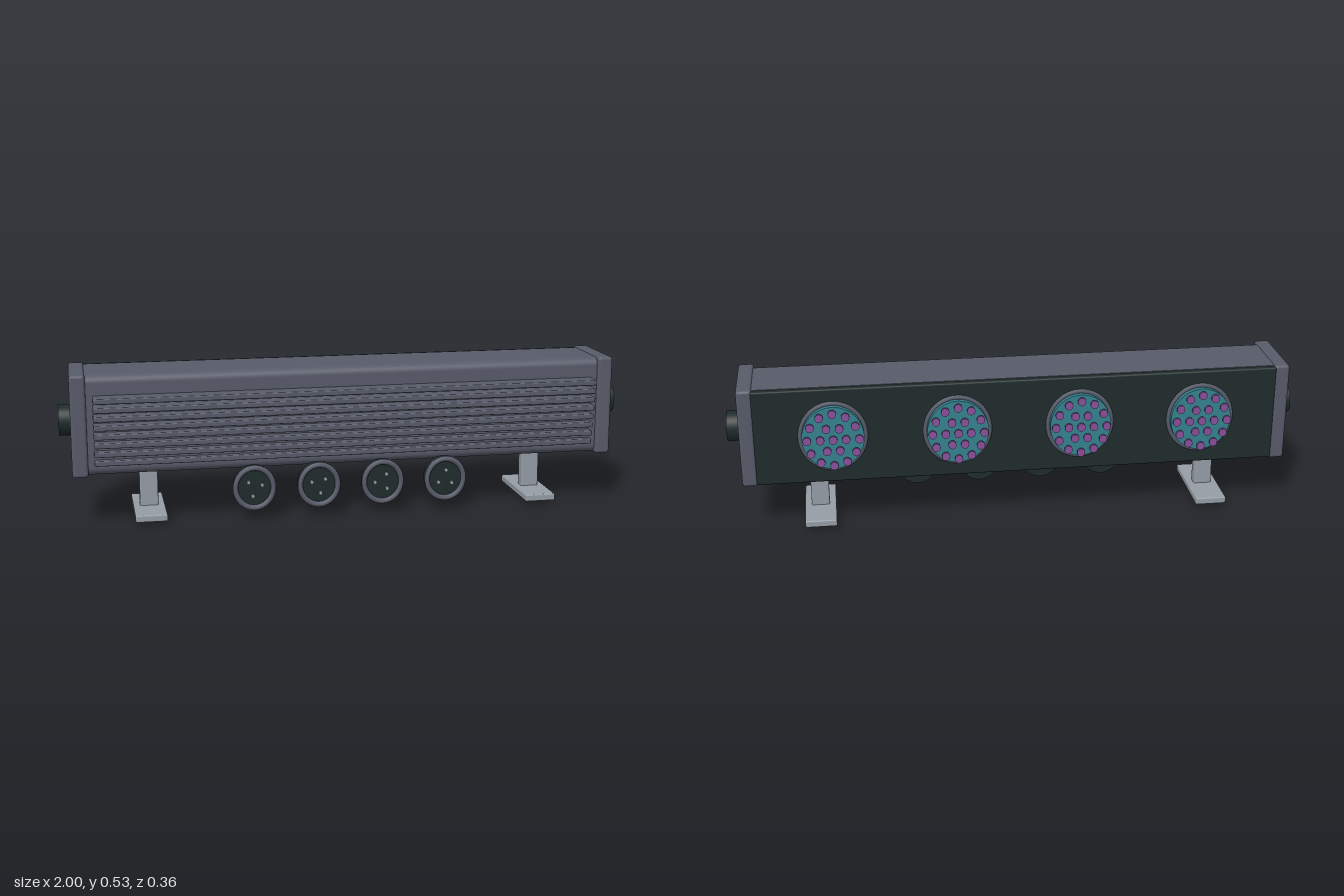
import * as THREE from 'three';
import { RoundedBoxGeometry } from 'three/addons/geometries/RoundedBoxGeometry.js';

const mat = (name, color) => Object.assign(new THREE.MeshStandardMaterial({ color }), { name });

export function createModel() {
  const model = new THREE.Group();
  model.name = 'lightBar';
  const housing = mat('housing grey', 0x575b69);
  const dark = mat('dark plastic', 0x1f2b2b);
  const metal = mat('bracket metal', 0x959da5);
  const lensTeal = mat('lens teal', 0x34828f);
  const ledPurple = mat('diode purple', 0x8b4f9a);

  const CX = -0.003, CZ = -0.003, MID = 0.351; // bar axis
  const ROUND = 0.935; // round parts are slightly narrower than tall

  const add = (parent, name, geo, material, x, y, z) => {
    const mesh = new THREE.Mesh(geo, material);
    mesh.name = name;
    mesh.position.set(x, y, z);
    parent.add(mesh);
    return mesh;
  };
  const rbox = (w, h, d, r) => new RoundedBoxGeometry(w, h, d, 3, r);
  // Disc whose axis runs along z
  const disc = (r, depth, sides = 40) =>
    new THREE.CylinderGeometry(r, r, depth, sides).rotateX(Math.PI / 2);

  // Housing: rounded profile extruded along x
  const x0 = -0.117, x1 = 0.118, y0 = 0.178, y1 = 0.524, r = 0.028;
  const s = new THREE.Shape();
  s.moveTo(x0, y0);
  s.lineTo(x1 - r, y0);
  s.absarc(x1 - r, y0 + r, r, -Math.PI / 2, 0);
  s.lineTo(x1, y1 - r);
  s.absarc(x1 - r, y1 - r, r, 0, Math.PI / 2);
  s.lineTo(x0, y1);
  s.closePath();
  const bodyGeo = new THREE.ExtrudeGeometry(s, { depth: 1.83, bevelEnabled: false, curveSegments: 8 })
    .translate(0, 0, -0.915).rotateY(-Math.PI / 2);
  add(model, 'housing', bodyGeo, housing, CX, 0, 0);
  add(model, 'lampPanel', rbox(1.82, 0.343, 0.024, 0.006), dark, CX, MID, -0.125);

  // End caps and their side knobs
  for (const side of [-1, 1]) {
    add(model, 'endCap', rbox(0.054, 0.354, 0.267, 0.011), housing, CX + side * 0.931, MID + 0.0005, CZ);
    const knob = add(model, 'sideKnob',
      new THREE.CylinderGeometry(0.0535, 0.0535, 0.09, 40).rotateZ(Math.PI / 2),
      dark, side * 0.955, MID, CZ);
    knob.scale.z = ROUND;
  }

  // Cooling fins, getting deeper towards the top
  for (let i = 0; i < 8; i++) {
    const back = 0.1, front = 0.144 + i * 0.0053;
    add(model, 'coolingFin', rbox(1.765, 0.0185, front - back, 0.004), housing,
      CX, 0.225 + i * 0.0316, (front + back) / 2);
  }

  // Lamps on the back: rim, lens and two rings of diodes round a centre one
  const spots = [[0, 0]];
  for (const [count, radius] of [[6, 0.047], [12, 0.095]]) {
    for (let i = 0; i < count; i++) {
      const a = (i / count) * Math.PI * 2;
      spots.push([Math.cos(a) * radius, Math.sin(a) * radius]);
    }
  }
  for (let i = 0; i < 4; i++) {
    const lamp = new THREE.Group();
    lamp.name = 'lamp';
    lamp.position.set(CX + (i - 1.5) * 0.427, MID, 0);
    lamp.scale.x = ROUND;
    model.add(lamp);
    add(lamp, 'lampRim', new THREE.TorusGeometry(0.119, 0.01, 10, 48), housing, 0, 0, -0.133);
    add(lamp, 'lens', disc(0.114, 0.028), lensTeal, 0, 0, -0.144);
    for (const [x, y] of spots) add(lamp, 'diode', disc(0.0152, 0.008, 12), ledPurple, x, y, -0.174);
  }

  // Round sockets hanging under the front edge
  for (let i = 0; i < 4; i++) {
    const socket = new THREE.Group();
    socket.name = 'socket';
    socket.position.set(CX + (i - 1.5) * 0.2273, 0.115, 0);
    socket.scale.x = ROUND;
    model.add(socket);
    add(socket, 'socketBody', disc(0.076, 0.037), dark, 0, 0, 0.1235);
    add(socket, 'socketRim', new THREE.TorusGeometry(0.071, 0.01, 10, 48), housing, 0, 0, 0.143);
    for (let k = 0; k < 3; k++) {
      const a = (k / 3) * Math.PI * 2 + 0.3 + i * 0.4;
      add(socket, 'contactPin', disc(0.007, 0.008, 10), metal,
        Math.cos(a) * 0.03, Math.sin(a) * 0.03, 0.145);
    }
  }

  // Feet: post passing through a flat base plate
  for (const side of [-1, 1]) {
    const x = CX + side * 0.697;
    add(model, 'footPost', rbox(0.064, 0.2, 0.042, 0.006), metal, x, 0.1, CZ);
    add(model, 'footPlate', rbox(0.11, 0.025, 0.297, 0.005), metal, x, 0.0245, CZ);
  }
  return model;
}
